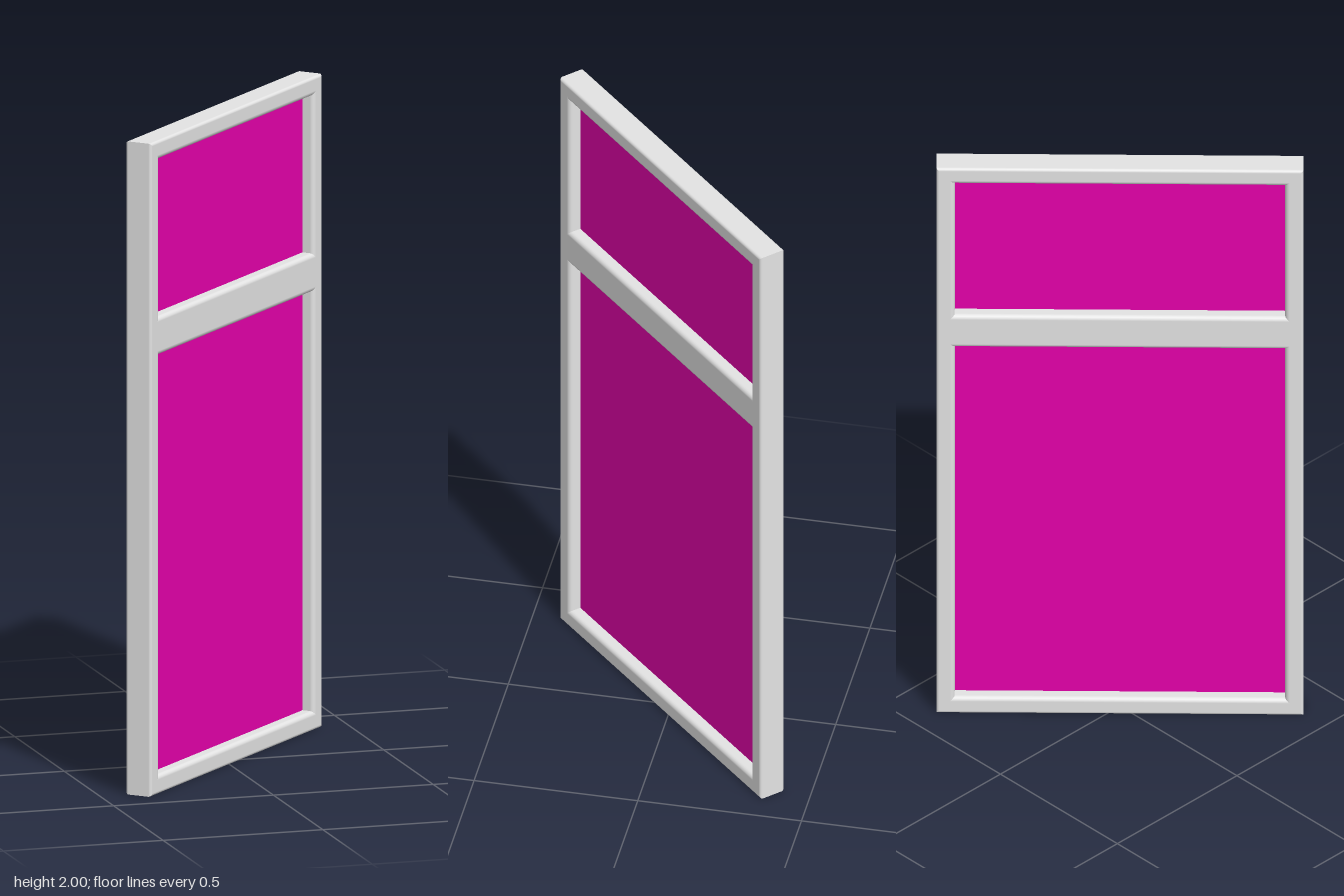
import * as THREE from 'three';

const HALF_W = 0.549, HEIGHT = 2, HALF_D = 0.043;
const INNER = 0.494;                               // half width of the openings
const OPENINGS = [[0.058, 1.343], [1.46, 1.943]];  // bottom and top of each opening
const R_OUT = 0.009, R_IN = 0.014;                 // edge rounding outside and in the openings

// Collects quads with smooth normals into one geometry
function surface() {
  const position = [], normal = [];
  return {
    quad(points, normals, flip) {
      for (const i of flip ? [0, 2, 1, 0, 3, 2] : [0, 1, 2, 0, 2, 3]) {
        position.push(...points[i]);
        normal.push(...normals[i]);
      }
    },
    geometry() {
      const g = new THREE.BufferGeometry();
      g.setAttribute('position', new THREE.Float32BufferAttribute(position, 3));
      g.setAttribute('normal', new THREE.Float32BufferAttribute(normal, 3));
      return g;
    },
  };
}

// Band round a rectangle, with rounded front and back edges and mitred corners.
// side = 1 for the outside of the frame, -1 for an opening
function addBand(s, x0, y0, x1, y1, r, side) {
  const steps = 4, rows = [];
  for (const half of [-1, 1]) {
    for (let k = 0; k <= steps; k++) {
      const a = (Math.PI / 2) * (half < 0 ? k / steps - 1 : k / steps);
      rows.push({
        inset: side * r * (1 - Math.cos(a)),
        z: half * (HALF_D - r) + r * Math.sin(a),
        c: Math.cos(a), n: Math.sin(a),
      });
    }
  }
  const corner = (j, { inset: i, z }) => [
    [x0 + i, y0 + i, z], [x1 - i, y0 + i, z], [x1 - i, y1 - i, z], [x0 + i, y1 - i, z],
  ][j % 4];
  const facing = [[0, -1], [1, 0], [0, 1], [-1, 0]];
  for (let j = 0; j < 4; j++) {
    const normalOf = (row) => [side * facing[j][0] * row.c, side * facing[j][1] * row.c, row.n];
    for (let k = 0; k < rows.length - 1; k++) {
      const a = rows[k], b = rows[k + 1], na = normalOf(a), nb = normalOf(b);
      s.quad([corner(j, a), corner(j + 1, a), corner(j + 1, b), corner(j, b)],
        [na, na, nb, nb], side < 0);
    }
  }
}

// Flat front and back faces of one bar
function addFaces(s, x0, y0, x1, y1) {
  for (const f of [-1, 1]) {
    const z = f * HALF_D;
    s.quad([[x0, y0, z], [x1, y0, z], [x1, y1, z], [x0, y1, z]],
      Array(4).fill([0, 0, f]), f < 0);
  }
}

function frameGeometry() {
  const s = surface();
  addBand(s, -HALF_W, 0, HALF_W, HEIGHT, R_OUT, 1);
  for (const [y0, y1] of OPENINGS) addBand(s, -INNER, y0, INNER, y1, R_IN, -1);

  // Stiles
  const outer = HALF_W - R_OUT, inner = INNER + R_IN;
  addFaces(s, -outer, R_OUT, -inner, HEIGHT - R_OUT);
  addFaces(s, inner, R_OUT, outer, HEIGHT - R_OUT);

  // Bottom, middle and top rails
  const [[a0, a1], [b0, b1]] = OPENINGS;
  addFaces(s, -inner, R_OUT, inner, a0 - R_IN);
  addFaces(s, -inner, a1 + R_IN, inner, b0 - R_IN);
  addFaces(s, -inner, b1 + R_IN, inner, HEIGHT - R_OUT);
  return s.geometry();
}

export function createModel() {
  const frameMaterial = new THREE.MeshStandardMaterial({ color: 0xe4e4e4 });
  frameMaterial.name = 'pale grey frame';
  const glassMaterial = new THREE.MeshStandardMaterial({ color: 0xe500ab });
  glassMaterial.name = 'magenta glass';

  const windowGroup = new THREE.Group();
  windowGroup.name = 'window';

  const frame = new THREE.Mesh(frameGeometry(), frameMaterial);
  frame.name = 'frame';
  windowGroup.add(frame);

  // Panes set in the middle of the frame
  OPENINGS.forEach(([y0, y1], i) => {
    const pane = new THREE.Mesh(
      new THREE.BoxGeometry(2 * INNER + 0.01, y1 - y0 + 0.01, 0.009), glassMaterial);
    pane.position.y = (y0 + y1) / 2;
    pane.name = i ? 'upperPane' : 'lowerPane';
    windowGroup.add(pane);
  });

  // The window stands diagonally
  windowGroup.rotation.y = Math.PI / 4;
  const root = new THREE.Group();
  root.name = 'diagonalWindow';
  root.add(windowGroup);
  return root;
}
